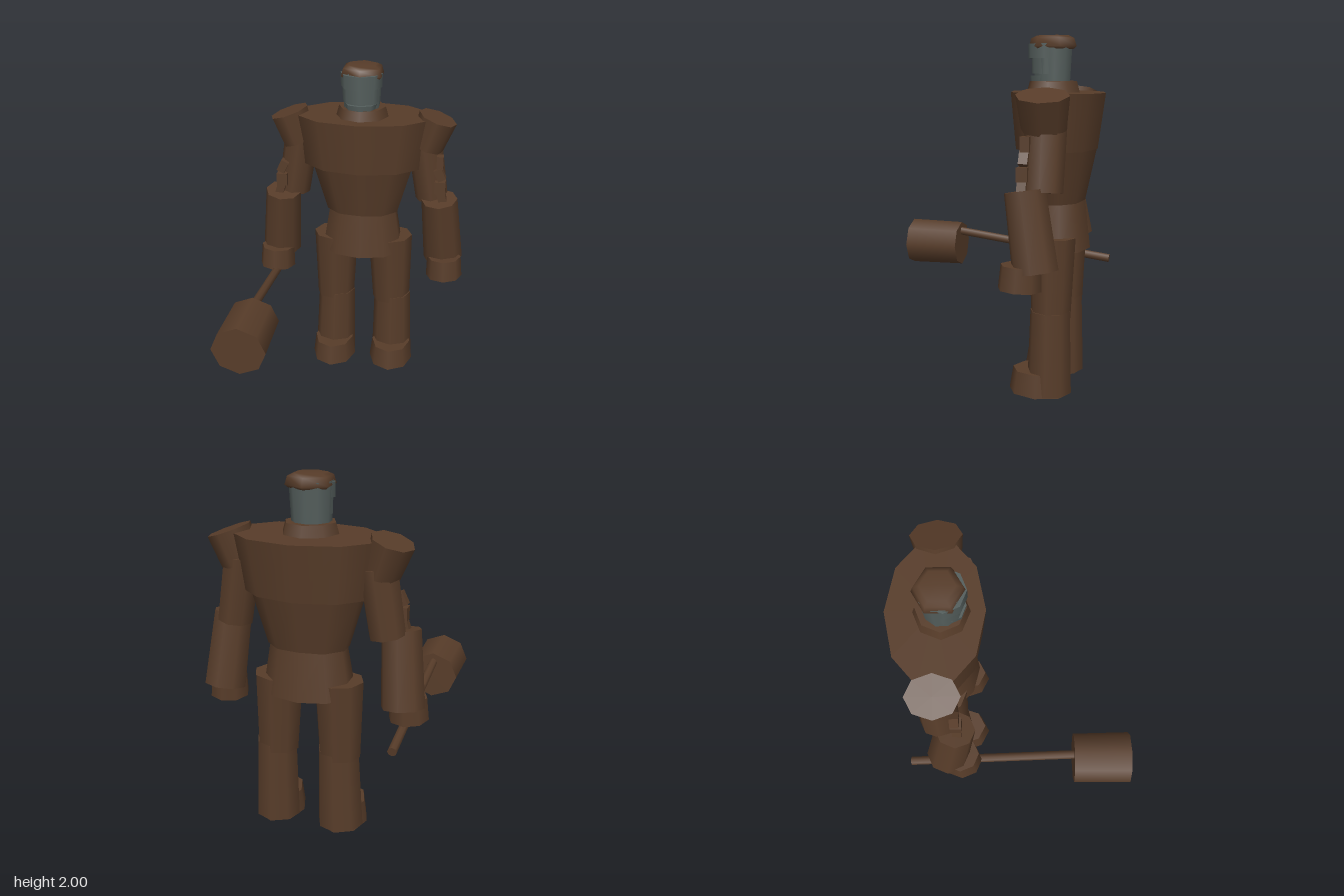
import * as THREE from 'three';

export function createModel() {
  const model = new THREE.Group();
  const brown = new THREE.MeshStandardMaterial({ color: 0x573c29 });
  brown.name = 'brown';
  const grey = new THREE.MeshStandardMaterial({ color: 0x545e5c });
  grey.name = 'slate grey';
  const UP = new THREE.Vector3(0, 1, 0);

  // Faceted tapered limb from top point a to bottom point b.
  // ra, rb: half-widths in x at each end; depth: ratio of z to x.
  function limb(name, a, b, ra, rb, depth = 1, sides = 8, mat = brown) {
    const top = new THREE.Vector3(...a), bottom = new THREE.Vector3(...b);
    const axis = top.clone().sub(bottom);
    const geo = new THREE.CylinderGeometry(ra, rb, axis.length(), sides).scale(1, 1, depth);
    const mesh = new THREE.Mesh(geo, mat);
    mesh.name = name;
    mesh.quaternion.setFromUnitVectors(UP, axis.normalize());
    mesh.position.copy(top).add(bottom).multiplyScalar(0.5);
    model.add(mesh);
    return mesh;
  }
  function block(name, size, pos, rot = [0, 0, 0], mat = brown) {
    const mesh = new THREE.Mesh(new THREE.BoxGeometry(...size), mat);
    mesh.name = name;
    mesh.position.set(...pos);
    mesh.rotation.set(...rot);
    model.add(mesh);
  }

  // Torso
  limb('chest', [0.02, 1.69, -0.42], [0.02, 1.38, -0.415], 0.425, 0.37, 0.62, 10);
  limb('abdomen', [0.02, 1.4, -0.42], [0.02, 1.08, -0.42], 0.325, 0.23, 0.69, 10);
  limb('pelvis', [0.02, 1.09, -0.42], [0.02, 0.81, -0.42], 0.215, 0.262, 0.74, 10);

  // Neck and head
  limb('collar', [0.015, 1.75, -0.385], [0.015, 1.68, -0.385], 0.14, 0.16, 0.96, 8);
  limb('head', [0.012, 1.96, -0.378], [0.012, 1.7, -0.378], 0.118, 0.105, 0.95, 10, grey);
  limb('brow', [0.012, 1.955, -0.355], [0.012, 1.875, -0.355], 0.124, 0.122, 0.94, 8, grey);
  limb('cheekGuard', [0.012, 1.875, -0.365], [0.012, 1.79, -0.365], 0.114, 0.112, 0.93, 8, grey);
  limb('jaw', [0.012, 1.78, -0.335], [0.012, 1.71, -0.335], 0.095, 0.085, 0.88, 8, grey);

  // Hexagonal cap with a bevelled rim
  const cap = new THREE.Mesh(new THREE.LatheGeometry([
    [0, 1.922], [0.118, 1.925], [0.136, 1.94], [0.122, 1.985], [0.09, 2], [0, 2],
  ].map(p => new THREE.Vector2(...p)), 6), brown);
  cap.name = 'cap';
  cap.position.set(0.015, 0, -0.378);
  model.add(cap);

  // Arms, mirrored about a centre slightly to the left
  for (const s of [-1, 1]) {
    const X = d => 0.012 + s * d;
    limb('shoulder', [X(0.452), 1.685, -0.425], [X(0.392), 1.505, -0.42], 0.118, 0.1, 1.22);
    limb('upperArm', [X(0.375), 1.55, -0.43], [X(0.435), 1.18, -0.43], 0.105, 0.1, 1.08);
    limb('forearm', [X(0.487), 1.195, -0.345], [X(0.525), 0.775, -0.415], 0.11, 0.122, 1.02);
    limb('hand', [X(0.535), 0.81, -0.34], [X(0.54), 0.68, -0.335], 0.105, 0.113, 1.04);
    // Strap links along the upper arm
    block('strapBuckle', [0.065, 0.075, 0.06], [X(0.487), 1.28, -0.335]);
    block('strapUpperLink', [0.05, 0.075, 0.05], [X(0.482), 1.36, -0.34], [0, 0, s * 0.45]);
    block('strapLowerLink', [0.05, 0.07, 0.05], [X(0.5), 1.215, -0.335], [0, 0, s * 0.3]);
    if (s > 0) block('strapTopLink', [0.04, 0.08, 0.05], [X(0.48), 1.435, -0.345]);
  }

  // Legs: [hip x, knee x, ankle x]
  for (const [hip, knee, ankle] of [[-0.155, -0.16, -0.165], [0.195, 0.21, 0.222]]) {
    limb('thigh', [hip, 0.895, -0.43], [knee, 0.44, -0.43], 0.14, 0.12, 0.94);
    limb('shin', [knee + 0.008, 0.48, -0.428], [ankle, 0.005, -0.428], 0.118, 0.133, 0.96);
    limb('foot', [ankle, 0.13, -0.375], [ankle, 0, -0.375], 0.126, 0.143, 1.25);
  }

  // Long-handled mallet held forward in the right hand
  limb('malletHandle', [-0.517, 0.765, 0.5], [-0.517, 0.625, -0.65], 0.026, 0.026);
  limb('malletHead', [-0.517, 0.661, 0.68], [-0.517, 0.663, 0.34], 0.156, 0.15, 0.95);
  return model;
}
